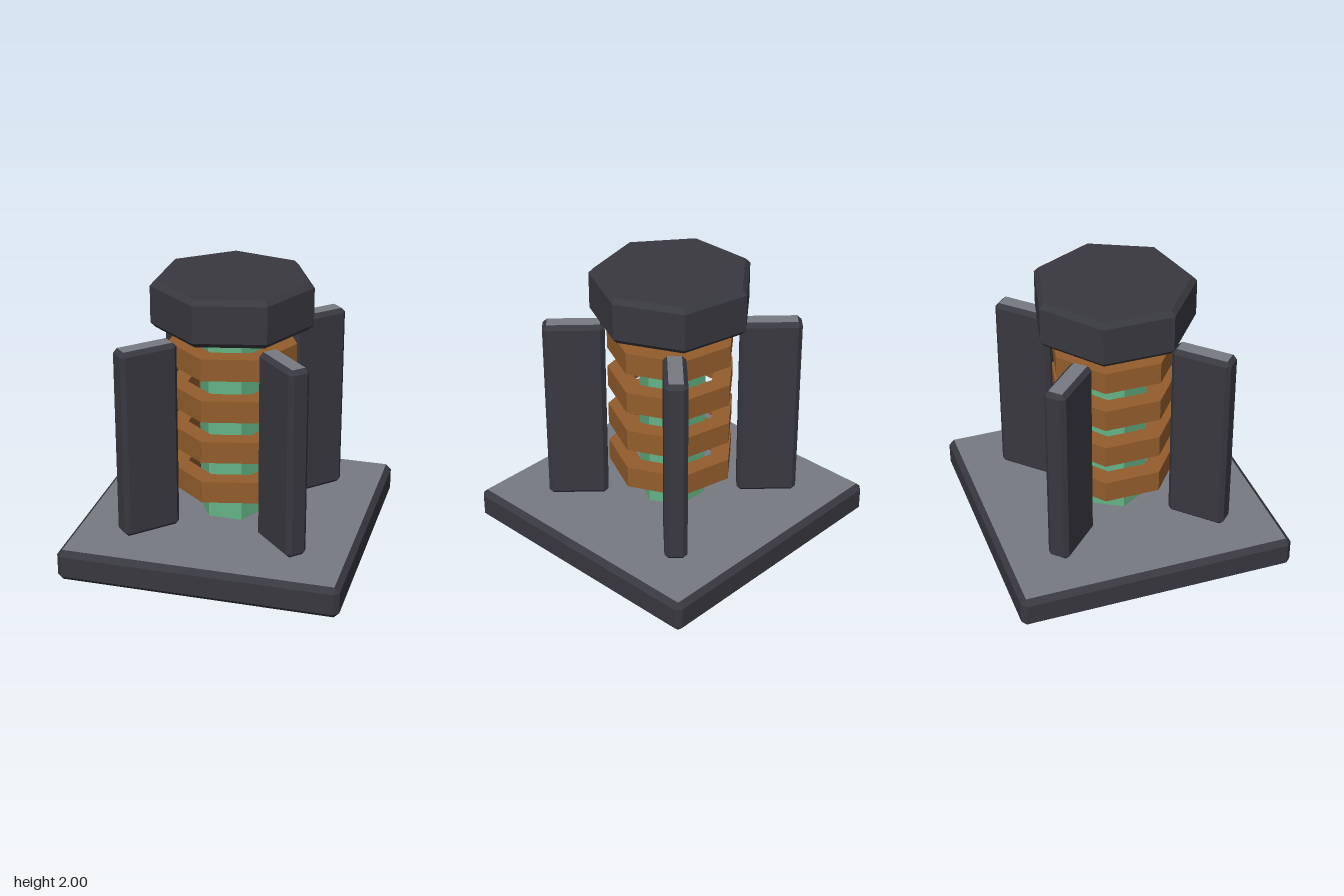
import * as THREE from 'three';
import { ConvexGeometry } from 'three/addons/geometries/ConvexGeometry.js';

function material(name, color) {
  const m = new THREE.MeshStandardMaterial({ color });
  m.name = name;
  return m;
}

// Faceted solid of revolution with one corner pointing along +x
function facetedLathe(points, sides) {
  const profile = points.map(([r, y]) => new THREE.Vector2(r, y));
  const geo = new THREE.LatheGeometry(profile, sides, Math.PI / 2).toNonIndexed();
  geo.computeVertexNormals();
  return geo;
}

// Box with every edge chamfered; group 0 = sides and chamfers, group 1 = flat top and bottom
function chamferBox(w, h, d, c) {
  const pts = [];
  for (const sx of [-1, 1]) for (const sy of [-1, 1]) for (const sz of [-1, 1]) {
    const x = w / 2, y = h / 2, z = d / 2;
    pts.push(
      new THREE.Vector3(sx * x, sy * (y - c), sz * (z - c)),
      new THREE.Vector3(sx * (x - c), sy * y, sz * (z - c)),
      new THREE.Vector3(sx * (x - c), sy * (y - c), sz * z)
    );
  }
  const geo = new ConvexGeometry(pts);
  const normal = geo.attributes.normal;
  for (let i = 0; i < normal.count; i += 3) {
    geo.addGroup(i, 3, Math.abs(normal.getY(i)) > 0.95 ? 1 : 0);
  }
  return geo;
}

export function createModel() {
  const model = new THREE.Group();
  model.name = 'coilPylon';
  const dark = material('darkMetal', 0x38383f);
  const grey = material('greyMetal', 0x777a82);
  const green = material('greenCore', 0x65b385);
  const copper = material('copper', 0x935d2c);

  const add = (name, geo, mat, parent = model) => {
    const mesh = new THREE.Mesh(geo, mat);
    mesh.name = name;
    parent.add(mesh);
    return mesh;
  };

  // Square base plate
  add('base', chamferBox(2, 0.23, 2, 0.038), [dark, grey]).position.y = 0.115;

  // Hexagonal core column
  add('core', facetedLathe([[0, 0.22], [0.24, 0.22], [0.24, 1.68], [0, 1.68]], 6), green);

  // Four seven-sided coil rings
  const ringGeo = facetedLathe(
    [[0.32, -0.08], [0.46, -0.08], [0.46, 0.08], [0.32, 0.08], [0.32, -0.08]], 7);
  for (let i = 0; i < 4; i++) {
    add('coilRing', ringGeo, copper).position.y = 0.54 + i * 0.308;
  }

  // Four upright fins on the diagonals
  const finGeo = chamferBox(0.43, 1.39, 0.16, 0.03);
  for (let i = 0; i < 4; i++) {
    const pivot = new THREE.Group();
    pivot.name = 'finPivot';
    pivot.rotation.y = Math.PI / 4 + i * Math.PI / 2;
    model.add(pivot);
    add('fin', finGeo, [dark, grey], pivot).position.set(0.685, 0.925, 0);
  }

  // Seven-sided chamfered cap
  add('cap', facetedLathe(
    [[0, 1.66], [0.54, 1.66], [0.576, 1.697], [0.576, 1.963], [0.54, 2], [0, 2]], 7), dark);

  return model;
}
